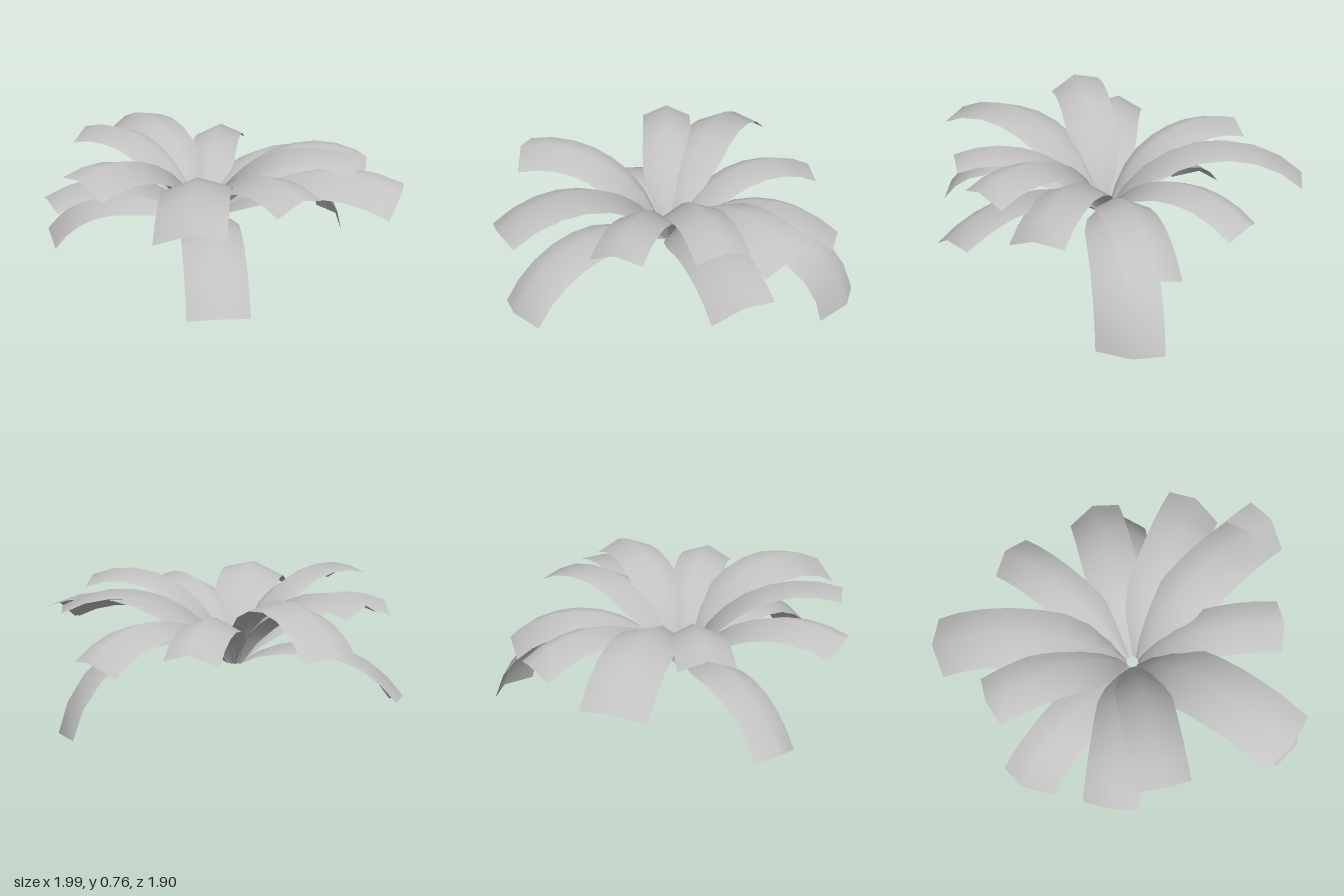
import * as THREE from 'three';

const leafGrey = new THREE.MeshStandardMaterial({ color: 0xc2c2c2, side: THREE.DoubleSide });
leafGrey.name = 'leafGrey';

const CROWN = new THREE.Vector3(-0.08, 0.28, -0.04);
const SEGMENTS = 8;
const FOLD = 0.06; // how far the blade edges hang below the midrib

// Midrib tip [x, y, z], highest point of the midrib, edge roll, half width
const LEAVES = [
  { name: 'longLeftLeaf', tip: [1.0, 0.55, -0.01], peak: 0.63, roll: -0.055, half: 0.15 },
  { name: 'upperLeftLeaf', tip: [0.78, 0.72, 0], peak: 0.77, roll: 0, half: 0.14 },
  { name: 'backLeftLeaf', tip: [0.78, 0.60, -0.38], peak: 0.69, roll: -0.04, half: 0.155 },
  { name: 'rearLeftUpperLeaf', tip: [0.41, 0.41, -0.84], peak: 0.57, roll: 0.03, half: 0.15 },
  { name: 'rearLeftDroopingLeaf', tip: [0.58, 0.04, -0.84], peak: 0.5, roll: -0.055, half: 0.165 },
  { name: 'rearLeaf', tip: [-0.16, 0.51, -0.95], peak: 0.62, roll: 0.01, half: 0.135 },
  { name: 'rearRightLeaf', tip: [-0.82, 0.52, -0.82], peak: 0.71, roll: 0.03, half: 0.16 },
  { name: 'backRightLeaf', tip: [-0.85, 0.68, -0.33], peak: 0.72, roll: 0, half: 0.14 },
  { name: 'frontRightLowerLeaf', tip: [-0.79, 0.58, 0.5], peak: 0.64, roll: -0.015, half: 0.145 },
  { name: 'frontRightUpperLeaf', tip: [-0.55, 0.75, 0.65], peak: 0.78, roll: 0.03, half: 0.145 },
  { name: 'frontUpperLeaf', tip: [0.08, 0.65, 0.95], peak: 0.75, roll: -0.03, half: 0.175 },
  { name: 'frontDroopingLeaf', tip: [0.22, 0.22, 0.93], peak: 0.5, roll: 0, half: 0.155 },
  { name: 'frontLeftLeaf', tip: [0.54, 0.67, 0.48], peak: 0.71, roll: -0.015, half: 0.14 },
  { name: 'rightDroopingLeaf', tip: [-0.99, 0.16, 0], peak: 0.42, roll: 0.045, half: 0.145 },
];

// Horizontal reach from the top of a circle to a point that lies `drop` lower
const reach = (radius, drop) => Math.sqrt(Math.max(0, 2 * radius * drop - drop * drop));

// Circular arc of the given span, rising by `rise` and then falling by `fall`
function fitArc(span, rise, fall) {
  let low = Math.max(rise, fall), high = 10;
  for (let i = 0; i < 40; i++) {
    const radius = (low + high) / 2;
    if (reach(radius, rise) + reach(radius, fall) < span) low = radius;
    else high = radius;
  }
  const before = reach(low, rise);
  return { radius: low, before, from: -Math.asin(before / low), to: Math.asin(reach(low, fall) / low) };
}

// A folded blade arching from the crown to its tip
function makeLeaf({ name, tip, peak, roll, half }) {
  const end = new THREE.Vector3(...tip);
  const out = end.clone().sub(CROWN).setY(0).normalize();
  const side = new THREE.Vector3(-out.z, 0, out.x);
  const start = CROWN.clone().addScaledVector(out, 0.03);
  const span = end.clone().sub(start).setY(0).length();
  const arc = fitArc(span, peak - start.y, peak - end.y);

  const points = [], index = [];
  for (let i = 0; i <= SEGMENTS; i++) {
    const t = i / SEGMENTS;
    const angle = THREE.MathUtils.lerp(arc.from, arc.to, t);
    const rib = start.clone().addScaledVector(out, arc.before + arc.radius * Math.sin(angle));
    rib.y = peak - arc.radius * (1 - Math.cos(angle));
    const under = out.clone().multiplyScalar(-Math.sin(angle)).setY(-Math.cos(angle));
    const grow = Math.max(0.12, Math.sin(Math.min(1, t / 0.42) * Math.PI / 2));
    for (const s of [-1, 0, 1]) {
      points.push(rib.clone().addScaledVector(side, s * half * grow)
        .addScaledVector(under, Math.abs(s) * FOLD * grow - s * roll * t));
    }
    if (i === SEGMENTS) break;
    for (const k of [0, 1]) {
      const a = i * 3 + k;
      index.push(a, a + 1, a + 3, a + 1, a + 4, a + 3);
    }
  }
  // Side then outward winds downward, so reverse it to face the upper side
  const geometry = new THREE.BufferGeometry().setFromPoints(points);
  geometry.setIndex(index.reverse());
  geometry.computeVertexNormals();
  const leaf = new THREE.Mesh(geometry, leafGrey);
  leaf.name = name;
  return leaf;
}

export function createModel() {
  const plant = new THREE.Group();
  plant.name = 'leafyPlant';
  for (const spec of LEAVES) plant.add(makeLeaf(spec));
  // Rest the lowest leaf tip on the ground
  const box = new THREE.Box3().setFromObject(plant);
  for (const leaf of plant.children) leaf.position.y = -box.min.y;
  return plant;
}
